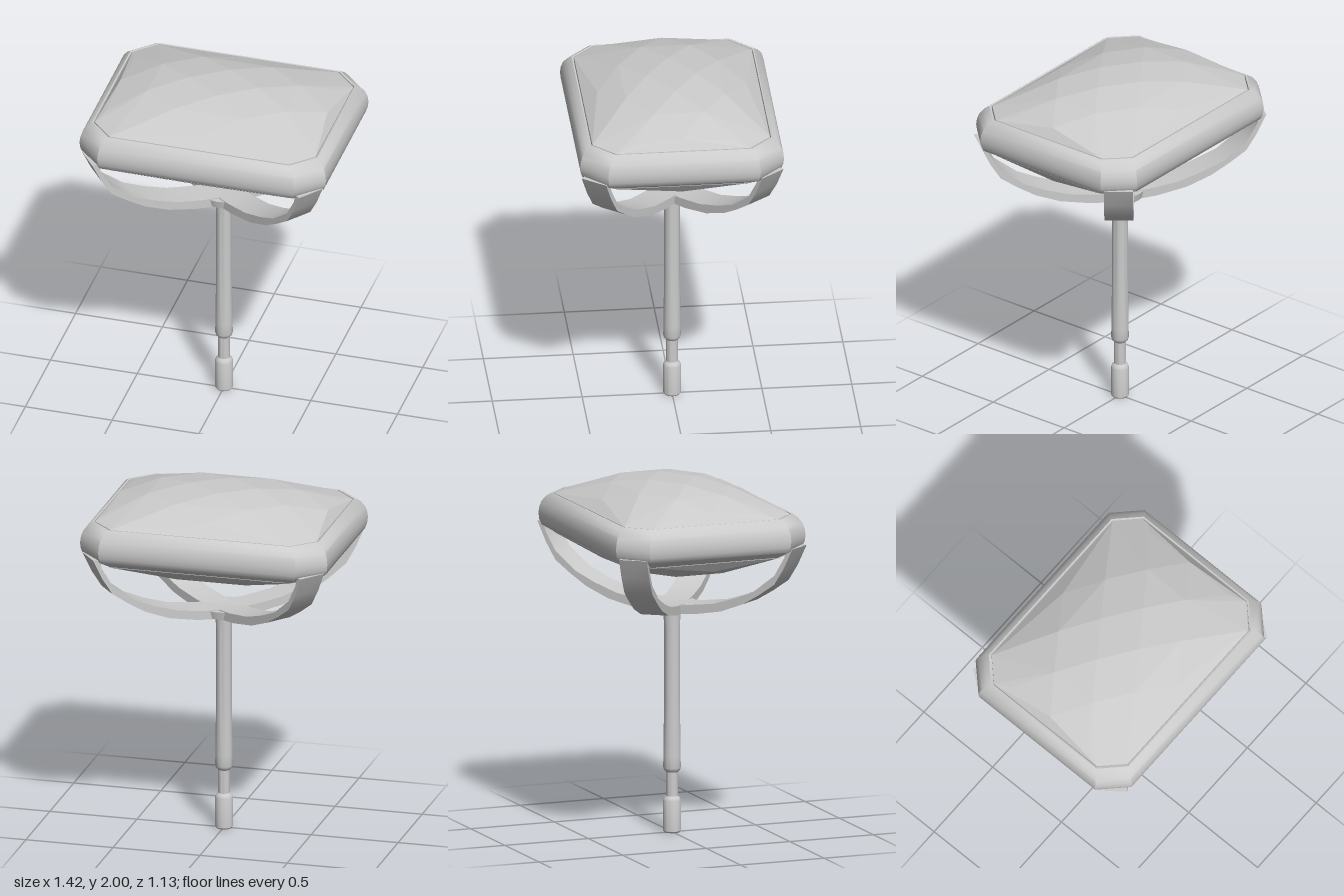
import * as THREE from 'three';
import { toCreasedNormals } from 'three/addons/utils/BufferGeometryUtils.js';
import { ConvexGeometry } from 'three/addons/geometries/ConvexGeometry.js';

const grey = new THREE.MeshStandardMaterial({ color: 0xcccccc });
const gemGrey = new THREE.MeshStandardMaterial({ color: 0xcccccc, flatShading: true });
const MID = 1.745; // height of the gem's mirror plane

function part(name, geometry, material = grey) {
  const mesh = new THREE.Mesh(geometry, material);
  mesh.name = name;
  return mesh;
}

// Rectangle with cut corners, as [x, z] pairs, d inward from the bezel's outer edge
function octagon(d) {
  const a = 0.71 - d, b = 0.567 - d, c = 0.143 - 0.3 * d;
  return [[a, -b + c], [a, b - c], [a - c, b], [-a + c, b],
    [-a, b - c], [-a, -b + c], [-a + c, -b], [a - c, -b]];
}

// Checkerboard-cut stone: a diamond lattice over a shallow dome, mirrored below
function gemGeometry() {
  const drop = { 1: 0, 5: 0.035, 9: 0.09, 13: 0.118 };
  const points = [];
  for (const side of [1, -1]) {
    for (let i = -3; i <= 3; i++) {
      for (let j = -3; j <= 3; j++) {
        const d = drop[i * i + j * j];
        if ((i + j) % 2 === 0 || d === undefined) continue;
        points.push(new THREE.Vector3(i * 0.199, MID + side * (0.255 - d), j * 0.139));
      }
    }
    for (const [x, z] of octagon(0.073)) points.push(new THREE.Vector3(x, MID + side * 0.11, z));
  }
  return new ConvexGeometry(points);
}

// Rounded rim: a closed profile of [inset, y] carried round the octagon
function bezelGeometry() {
  const profile = [[0.068, 1.855], [0.06, 1.857], [0.035, 1.837], [0.014, 1.807], [0.004, 1.775],
    [0, 1.74], [0.004, 1.705], [0.015, 1.675], [0.075, 1.637], [0.08, 1.645], [0.08, 1.82], [0.068, 1.83]];
  const positions = [], index = [], n = profile.length;
  for (const [d, y] of profile) for (const [x, z] of octagon(d)) positions.push(x, y, z);
  for (let j = 0; j < n; j++) {
    for (let i = 0; i < 8; i++) {
      const i2 = (i + 1) % 8, row = j * 8, next = ((j + 1) % n) * 8;
      index.push(row + i, row + i2, next + i, row + i2, next + i2, next + i);
    }
  }
  const g = new THREE.BufferGeometry();
  g.setAttribute('position', new THREE.Float32BufferAttribute(positions, 3));
  g.setIndex(index);
  return toCreasedNormals(g, 0.7);
}

// Flat curved strap from the centre out to a bezel corner, along +x
function armGeometry() {
  const width = 0.16;
  const outline = [[0, 1.255], [0.1, 1.255], [0.19, 1.262], [0.36, 1.295], [0.5, 1.35], [0.6, 1.41],
    [0.7, 1.48], [0.76, 1.575], [0.815, 1.69], [0.775, 1.69], [0.765, 1.64], [0.7, 1.53], [0.57, 1.43],
    [0.45, 1.378], [0.31, 1.333], [0.15, 1.31], [0, 1.304]];
  const shape = new THREE.Shape(outline.map(([x, y]) => new THREE.Vector2(x, y)));
  const g = new THREE.ExtrudeGeometry(shape, { depth: width, bevelEnabled: false });
  g.translate(0, 0, -width / 2);
  return toCreasedNormals(g, 0.5);
}

// Post with a locking notch near its foot
function postGeometry() {
  const profile = [[0, 0], [0.043, 0], [0.049, 0.008], [0.049, 0.18], [0.045, 0.192], [0.033, 0.205],
    [0.033, 0.34], [0.045, 0.352], [0.049, 0.365], [0.048, 0.43], [0.044, 0.75], [0.044, 1.15],
    [0.048, 1.26], [0, 1.27]];
  const g = new THREE.LatheGeometry(profile.map(([r, y]) => new THREE.Vector2(r, y)), 28);
  return toCreasedNormals(g, 0.6);
}

export function createModel() {
  const model = new THREE.Group();
  model.name = 'studEarring';
  model.add(part('gemstone', gemGeometry(), gemGrey));
  model.add(part('bezel', bezelGeometry()));

  // Four straps, one to each cut corner
  const arms = new THREE.Group();
  arms.name = 'basketArms';
  const armShape = armGeometry();
  const angle = Math.atan2(0.61, 0.79);
  for (const a of [angle, -angle, Math.PI + angle, Math.PI - angle]) {
    const arm = part('basketArm', armShape);
    arm.rotation.y = a;
    arms.add(arm);
  }
  model.add(arms);

  // Small plate where the straps meet
  const hub = part('basketHub', new THREE.CylinderGeometry(0.14, 0.13, 0.045, 24));
  hub.position.y = 1.2795;
  model.add(hub);

  model.add(part('post', postGeometry()));
  return model;
}
